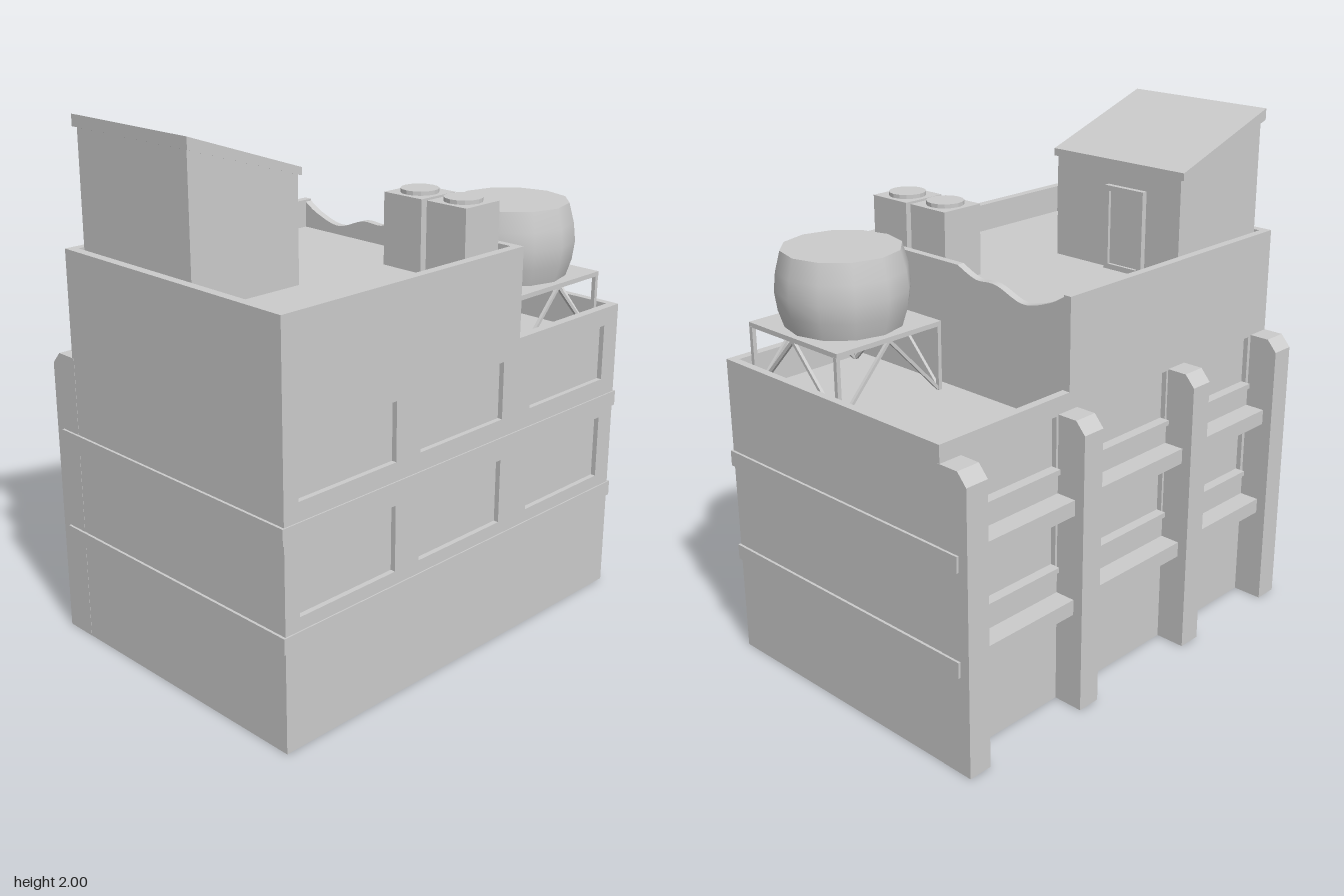
import * as THREE from 'three';

export function createModel() {
  const model = new THREE.Group();
  const mat = new THREE.MeshStandardMaterial({ color: 0xcccccc, flatShading: true });
  const smooth = new THREE.MeshStandardMaterial({ color: 0xcccccc });

  const add = (name, geo, material = mat) => {
    const m = new THREE.Mesh(geo, material);
    m.name = name;
    model.add(m);
    return m;
  };
  // box from min / max extents
  const box = (name, x0, x1, y0, y1, z0, z1) => {
    const m = add(name, new THREE.BoxGeometry(x1 - x0, y1 - y0, z1 - z0));
    m.position.set((x0 + x1) / 2, (y0 + y1) / 2, (z0 + z1) / 2);
    return m;
  };
  const polygon = (pts) => new THREE.Shape(pts.map(([x, y]) => new THREE.Vector2(x, y)));
  const extrude = (shape, depth) =>
    new THREE.ExtrudeGeometry(shape, { depth, bevelEnabled: false, curveSegments: 24 });
  // shape drawn in (-z, y), extruded along +x from x0
  const sidePanel = (name, shape, x0, depth) => {
    const m = add(name, extrude(shape, depth));
    m.rotation.y = Math.PI / 2;
    m.position.x = x0;
    return m;
  };
  const beam = (name, a, b, t) => {
    const m = add(name, new THREE.BoxGeometry(t, t, a.distanceTo(b)));
    m.position.copy(a).add(b).multiplyScalar(0.5);
    m.lookAt(b);
    return m;
  };

  const ROOF = 1.53, LOW = 1.19, FLOOR = 1.42, LOWFLOOR = 1.06;

  // Solid body under the two roof decks
  box('lowerBody', -0.47, 0.58, 0, LOWFLOOR, -0.855, 0.855);
  box('upperBody', -0.47, 0.58, LOWFLOOR, FLOOR, -0.26, 0.855);
  box('frontWall', -0.47, 0.58, 0, ROOF, 0.85, 0.885);
  box('backWall', -0.47, 0.58, 0, LOW, -0.885, -0.855);

  // Stepped side walls with recessed windows
  const sideShape = () => polygon([
    [-0.885, 0], [0.885, 0], [0.885, LOW], [0.275, LOW], [0.275, ROOF], [-0.885, ROOF],
  ]);
  const windowWall = (openings, rows) => {
    const s = sideShape();
    for (const [z0, z1] of openings) for (const [y0, y1] of rows) {
      s.holes.push(polygon([[-z1, y0], [-z1, y1], [-z0, y1], [-z0, y0]]));
    }
    return s;
  };
  const leftOpenings = [[0.37, 0.82], [-0.19, 0.25], [-0.8, -0.35]];
  sidePanel('leftWindowWall', windowWall(leftOpenings, [[0.49, 0.74], [0.9, 1.12]]), 0.595, 0.02);
  sidePanel('leftWallBacking', sideShape(), 0.58, 0.015);

  const bays = [[-0.79, -0.34], [-0.23, 0.26], [0.37, 0.775]];
  const bayRows = [[0.55, 0.75], [0.93, 1.12]];
  sidePanel('rightWindowWall', windowWall(bays, bayRows), -0.5, 0.02);
  sidePanel('rightWallBacking', sideShape(), -0.48, 0.012);
  for (const [z0, z1] of bays) for (const [y] of bayRows) {
    box('windowSill', -0.52, -0.49, y - 0.02, y, z0, z1);
  }

  // Floor bands, which become ledges between the pilasters
  for (const y of [0.38, 0.77]) box('floorBand', -0.58, 0.62, y, y + 0.06, -0.895, 0.895);

  // Pilasters with chamfered tops
  const pilaster = polygon([[-0.62, 0], [-0.49, 0], [-0.49, 1.125], [-0.58, 1.125], [-0.62, 1.08]]);
  for (const z of [-0.886, -0.33, 0.27, 0.791]) {
    add('pilaster', extrude(pilaster, 0.095)).position.z = z;
  }

  // Parapet between the decks with a worn dip
  const parapet = new THREE.Shape();
  parapet.moveTo(-0.48, LOWFLOOR);
  parapet.lineTo(0.585, LOWFLOOR);
  parapet.lineTo(0.585, ROOF);
  parapet.lineTo(0.04, ROOF);
  parapet.splineThru([[-0.05, 1.495], [-0.15, 1.495], [-0.28, 1.455], [-0.4, 1.485], [-0.48, ROOF]]
    .map(([x, y]) => new THREE.Vector2(x, y)));
  add('wornParapet', extrude(parapet, 0.03)).position.z = -0.275;

  // Stair shed with sloped roof and back door
  sidePanel('stairShed', polygon([
    [-0.835, FLOOR], [-0.36, FLOOR], [-0.36, 1.815], [-0.835, 1.965],
  ]), -0.455, 0.59);
  sidePanel('shedRoof', polygon([
    [-0.845, 1.957], [-0.355, 1.807], [-0.355, 1.835], [-0.845, 2],
  ]), -0.47, 0.62);
  const frame = polygon([[-0.3, FLOOR], [-0.12, FLOOR], [-0.12, 1.74], [-0.3, 1.74]]);
  frame.holes.push(polygon([[-0.28, FLOOR + 0.02], [-0.28, 1.72], [-0.14, 1.72], [-0.14, FLOOR + 0.02]]));
  add('doorFrame', extrude(frame, 0.025)).position.z = 0.338;
  box('door', -0.28, -0.14, FLOOR, 1.72, 0.35, 0.365);

  // Cooling units with round fans
  for (const x of [0.245, 0.45]) {
    box('coolingUnit', x - 0.09, x + 0.09, FLOOR, 1.69, -0.225, -0.045);
    const fan = add('coolingFan', new THREE.CylinderGeometry(0.07, 0.07, 0.03, 16));
    fan.position.set(x, 1.69, -0.135);
  }

  // Water tank on a braced stand
  const cx = 0.32, cz = -0.57, r = 0.235;
  box('tankPlatform', cx - 0.245, cx + 0.245, 1.307, 1.325, cz - 0.242, cz + 0.242);
  const corners = [[-r, -r], [r, -r], [r, r], [-r, r]];
  corners.forEach(([x, z], i) => {
    const [nx, nz] = corners[(i + 1) % 4];
    const foot = new THREE.Vector3(cx + x, LOWFLOOR, cz + z);
    const nextFoot = new THREE.Vector3(cx + nx, LOWFLOOR, cz + nz);
    const top = new THREE.Vector3(cx + (x + nx) / 2, 1.31, cz + (z + nz) / 2);
    box('standLeg', foot.x - 0.008, foot.x + 0.008, LOWFLOOR, 1.31, foot.z - 0.008, foot.z + 0.008);
    beam('standBrace', foot, top, 0.012);
    beam('standBrace', nextFoot, top, 0.012);
  });
  const profile = [[0.215, 1.32], [0.237, 1.39], [0.246, 1.46], [0.238, 1.53], [0.218, 1.605]]
    .map(([x, y]) => new THREE.Vector2(x, y));
  add('waterTank', new THREE.LatheGeometry(profile, 12), smooth).position.set(cx, 0, cz);
  const lid = add('tankLid', new THREE.CircleGeometry(0.218, 12));
  lid.rotation.x = -Math.PI / 2;
  lid.position.set(cx, 1.605, cz);

  return model;
}
